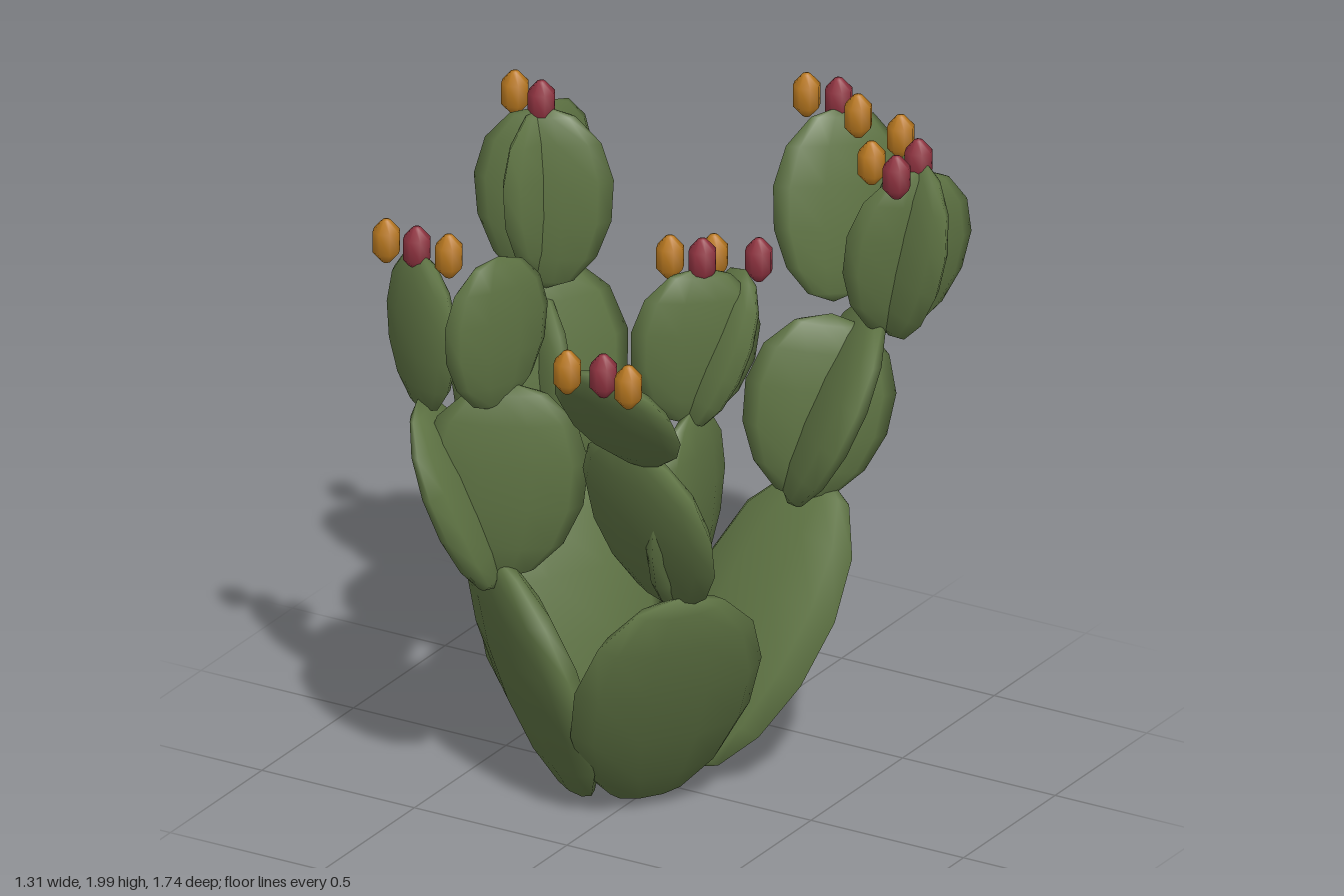
import * as THREE from 'three';

const green = new THREE.MeshStandardMaterial({ color: 0x5f7444 });
green.name = 'padGreen';
const orange = new THREE.MeshStandardMaterial({ color: 0xb87820 });
orange.name = 'fruitOrange';
const red = new THREE.MeshStandardMaterial({ color: 0x8f3340 });
red.name = 'fruitRed';

// Unit pad: low-poly egg outline, base at y = 0 and tip at y = 1
function padGeometry() {
  const g = new THREE.SphereGeometry(0.5, 10, 7);
  const p = g.attributes.position;
  for (let i = 0; i < p.count; i++) {
    const y = p.getY(i);
    p.setX(i, p.getX(i) * (1.03 + 0.2 * y));
    p.setY(i, y + 0.5);
  }
  g.computeVertexNormals();
  // Average the normals across the seam and the poles
  const n = g.attributes.normal, sums = new Map();
  const key = i => [p.getX(i), p.getY(i), p.getZ(i)].map(v => Math.round(v * 1e4)).join();
  const v = new THREE.Vector3();
  for (let i = 0; i < p.count; i++) {
    const s = sums.get(key(i)) || new THREE.Vector3();
    sums.set(key(i), s.add(v.fromBufferAttribute(n, i)));
  }
  for (let i = 0; i < p.count; i++) {
    v.copy(sums.get(key(i))).normalize();
    n.setXYZ(i, v.x, v.y, v.z);
  }
  return g;
}

// [base, tip, horizontal width direction (x, z), width, thickness]
const clusters = {
  backCluster: [
    [[0.03, 0.03, -0.1], [0.22, 0.8, -0.55], [0.92, 0.4], 0.59, 0.17],
    [[0.17, 0.75, -0.42], [0.36, 1.34, -0.61], [0.6, 0.8], 0.55, 0.14],
    [[0.2, 0.75, -0.46], [0.25, 1.31, -0.53], [0.8, -0.6], 0.42, 0.13],
    [[0.19, 1.29, -0.64], [0.16, 1.85, -0.74], [0.56, -0.83], 0.4, 0.1],
    [[0.43, 1.28, -0.54], [0.53, 1.83, -0.57], [0.88, 0.47], 0.38, 0.11],
    [[0.43, 1.28, -0.55], [0.53, 1.81, -0.55], [0.62, -0.78], 0.37, 0.11]
  ],
  rightCluster: [
    [[-0.27, 0.01, -0.08], [-0.46, 0.86, -0.17], [0.53, -0.85], 0.57, 0.17],
    [[-0.44, 0.78, -0.13], [-0.51, 1.45, -0.16], [0.6, -0.8], 0.53, 0.13],
    [[-0.46, 0.77, -0.17], [-0.5, 1.36, -0.18], [0.8, 0.6], 0.33, 0.12],
    [[-0.47, 1.39, -0.19], [-0.48, 1.93, -0.19], [0.15, -1], 0.39, 0.11],
    [[-0.46, 1.37, -0.15], [-0.47, 1.93, -0.15], [0.92, -0.35], 0.39, 0.11]
  ],
  frontRightCluster: [
    [[-0.16, 0.01, 0.17], [-0.31, 0.8, 0.39], [0.82, 0.57], 0.58, 0.17],
    [[-0.28, 0.73, 0.4], [-0.24, 1.35, 0.42], [0.87, -0.5], 0.46, 0.13],
    [[-0.28, 0.71, 0.43], [-0.49, 1.27, 0.5], [0.3, 0.95], 0.41, 0.12],
    [[-0.49, 1.22, 0.46], [-0.5, 1.71, 0.47], [0.9, 0.44], 0.32, 0.11],
    [[-0.27, 1.27, 0.45], [-0.25, 1.75, 0.46], [0.42, -0.9], 0.34, 0.1]
  ],
  frontLeftCluster: [
    [[0.03, 0.02, 0.12], [0.3, 0.79, 0.37], [0.6, -0.8], 0.55, 0.17],
    [[0.19, 0.73, 0.29], [0.23, 1.29, 0.5], [0.96, 0.28], 0.5, 0.13],
    [[0.23, 0.72, 0.28], [0.28, 1.33, 0.28], [0.1, 1], 0.42, 0.13],
    [[0.26, 1.28, 0.27], [0.3, 1.77, 0.27], [0.68, -0.73], 0.37, 0.11],
    [[0.27, 1.28, 0.28], [0.37, 1.73, 0.14], [0.85, 0.5], 0.3, 0.1],
    [[0.24, 1.24, 0.49], [0.27, 1.63, 0.79], [1, 0], 0.37, 0.11]
  ]
};

// Fruit positions by colour
const oranges = [
  [0.035, 1.85, -0.75], [0.24, 1.855, -0.69], [0.41, 1.85, -0.64], [0.41, 1.83, -0.48],
  [-0.585, 1.93, -0.19], [-0.61, 1.72, 0.47], [-0.405, 1.72, 0.47],
  [0.29, 1.77, 0.18], [0.2, 1.78, 0.27], [0.2, 1.64, 0.83], [0.4, 1.64, 0.83]
];
const reds = [
  [0.14, 1.86, -0.75], [0.51, 1.825, -0.57], [0.51, 1.82, -0.45], [-0.48, 1.935, -0.16],
  [-0.51, 1.72, 0.47], [0.3, 1.79, 0.26], [0.395, 1.755, 0.11], [0.3, 1.64, 0.8]
];

function makePad(geometry, [base, tip, dir, width, thickness]) {
  const mesh = new THREE.Mesh(geometry, green);
  const from = new THREE.Vector3(...base);
  const up = new THREE.Vector3(...tip).sub(from);
  const length = up.length();
  up.normalize();
  const side = new THREE.Vector3(dir[0], 0, dir[1]);
  side.addScaledVector(up, -side.dot(up)).normalize();
  const normal = new THREE.Vector3().crossVectors(side, up);
  mesh.quaternion.setFromRotationMatrix(new THREE.Matrix4().makeBasis(side, up, normal));
  mesh.position.copy(from);
  mesh.scale.set(width, length, thickness);
  return mesh;
}

export function createModel() {
  const model = new THREE.Group();
  model.name = 'pricklyPearCactus';

  // Pads, grouped by the trunk pad they grow from
  const padShape = padGeometry();
  for (const [name, pads] of Object.entries(clusters)) {
    const cluster = new THREE.Group();
    cluster.name = name;
    pads.forEach((data, i) => {
      const pad = makePad(padShape, data);
      pad.name = i === 0 ? 'basePad' : 'upperPad';
      cluster.add(pad);
    });
    model.add(cluster);
  }

  // Fruits along the top rims
  const profile = [[0, -0.068], [0.012, -0.064], [0.04, -0.032], [0.04, 0.032], [0.012, 0.064], [0, 0.068]];
  const fruitShape = new THREE.LatheGeometry(profile.map(p => new THREE.Vector2(...p)), 8);
  for (const [name, material, spots] of [['orangeFruit', orange, oranges], ['redFruit', red, reds]]) {
    for (const spot of spots) {
      const fruit = new THREE.Mesh(fruitShape, material);
      fruit.name = name;
      fruit.position.set(...spot);
      model.add(fruit);
    }
  }
  return model;
}
